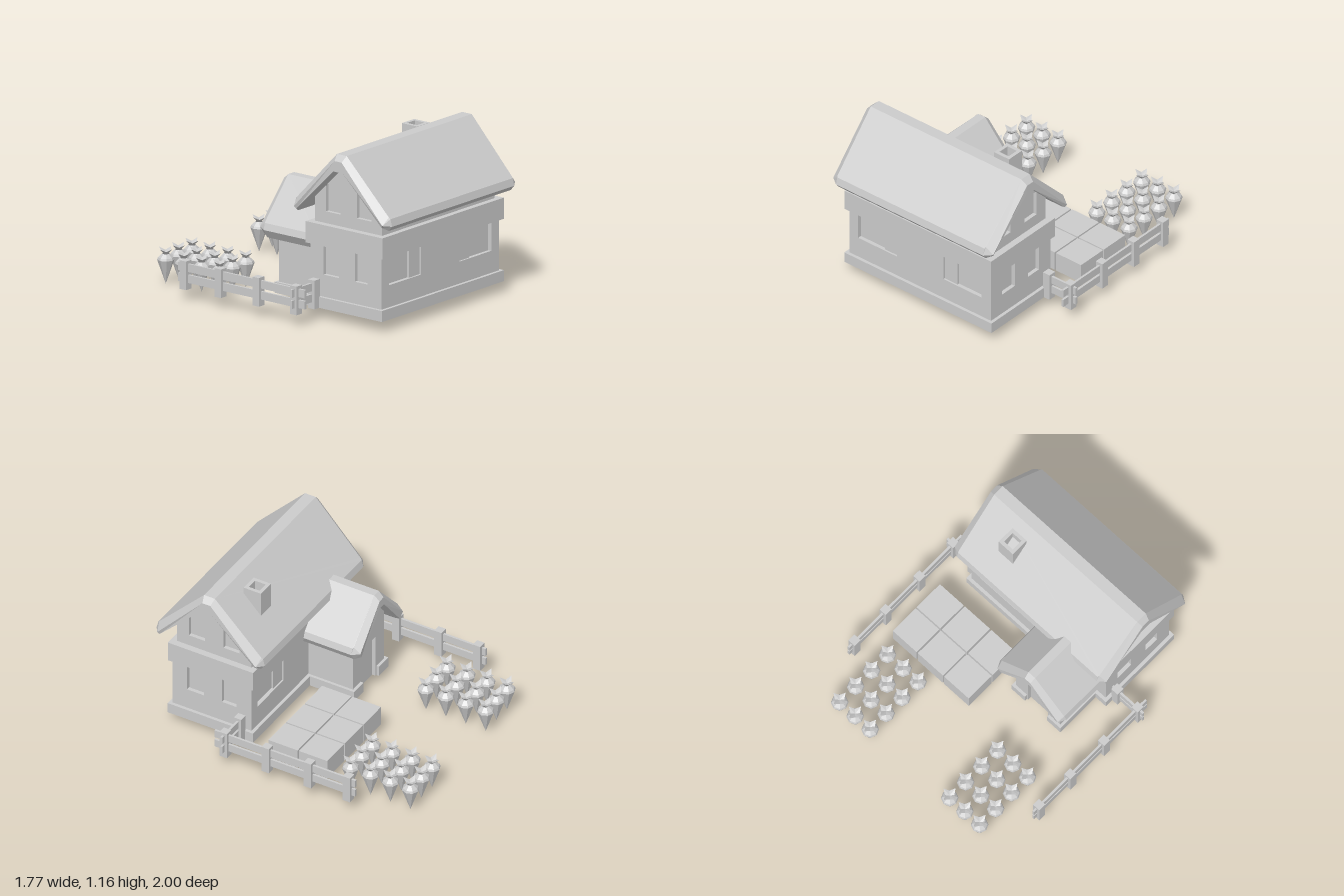
import * as THREE from 'three';

const mat = new THREE.MeshStandardMaterial({ color: 0xcccccc, flatShading: true, side: THREE.DoubleSide });

function add(parent, name, geo, x = 0, y = 0, z = 0) {
  const m = new THREE.Mesh(geo, mat);
  m.name = name;
  m.position.set(x, y, z);
  parent.add(m);
  return m;
}

// Box given by its min and max corners
function block(parent, name, x0, x1, y0, y1, z0, z1) {
  return add(parent, name, new THREE.BoxGeometry(x1 - x0, y1 - y0, z1 - z0),
    (x0 + x1) / 2, (y0 + y1) / 2, (z0 + z1) / 2);
}

const rect = (x0, x1, y0, y1) => [[x0, y0], [x1, y0], [x1, y1], [x0, y1]];
const toPts = a => a.map(p => new THREE.Vector2(p[0], p[1]));

function extrude(outline, holes, depth) {
  const s = new THREE.Shape(toPts(outline));
  for (const h of holes) s.holes.push(new THREE.Path(toPts(h)));
  return new THREE.ExtrudeGeometry(s, { depth, bevelEnabled: false });
}

// Open rectangular ring lying flat
function ring(parent, name, hx, hz, t, y0, y1, x = 0, z = 0) {
  const g = extrude(rect(-hx, hx, -hz, hz), [rect(-hx + t, hx - t, -hz + t, hz - t)], y1 - y0);
  g.rotateX(-Math.PI / 2);
  return add(parent, name, g, x, y0, z);
}

// Wall with recessed panes; its outer face points along local +z at distance dist
function wall(parent, name, outline, windows, dist, angle) {
  const T = 0.03, g = new THREE.Group();
  g.name = name;
  g.rotation.y = angle;
  add(g, name + 'Panel', extrude(outline, windows.map(w => rect(...w)), T), 0, 0, dist - T);
  for (const [x0, x1, y0, y1] of windows)
    block(g, 'windowPane', x0 - 0.01, x1 + 0.01, y0 - 0.01, y1 + 0.01, dist - T - 0.015, dist - T + 0.003);
  parent.add(g);
  return g;
}

// Gabled slab with chamfered rim, ridge along x. Each level lists the eave
// corner, rake corner and ridge corner of one quadrant as [x, y, z].
function roof(parent, name, levels, x, z, angle = 0) {
  const rings = levels.map(q => {
    const r = [...q].reverse();
    const flip = (a, sx, sz) => a.map(p => [p[0] * sx, p[1], p[2] * sz]);
    return [...q, ...flip(r, 1, -1), ...flip(q, -1, -1), ...flip(r, -1, 1)];
  });
  const pos = [];
  const fan = p => { for (let i = 1; i < p.length - 1; i++) pos.push(...p[0], ...p[i], ...p[i + 1]); };
  const slopes = [[0, 1, 2, 9, 10, 11], [2, 3, 8, 9], [3, 4, 5, 6, 7, 8]];
  for (const s of slopes) {
    fan(s.map(i => rings[0][i]));
    fan([...s].reverse().map(i => rings[rings.length - 1][i]));
  }
  for (let k = 0; k < rings.length - 1; k++)
    for (let i = 0; i < 12; i++) {
      const j = (i + 1) % 12, u = rings[k], l = rings[k + 1];
      fan([l[i], l[j], u[j], u[i]]);
    }
  const g = new THREE.BufferGeometry();
  g.setAttribute('position', new THREE.Float32BufferAttribute(pos, 3));
  g.computeVertexNormals();
  add(parent, name, g, x, 0, z).rotation.y = angle;
}

function house() {
  const h = new THREE.Group();
  h.name = 'house';
  h.position.z = 0.587;
  ring(h, 'plinth', 0.63, 0.325, 0.05, 0.08, 0.155);
  ring(h, 'floorBeam', 0.627, 0.325, 0.06, 0.505, 0.65);

  // Ground floor walls
  const wide = [[-0.53, -0.2, 0.305, 0.5], [0.2, 0.525, 0.305, 0.5]];
  const side = [[-0.19, -0.06, 0.305, 0.5], [0.075, 0.185, 0.305, 0.5]];
  for (const [name, a] of [['frontWall', 0], ['backWall', Math.PI]]) {
    const w = wall(h, name, rect(-0.607, 0.607, 0.1, 0.6), wide, 0.302, a);
    for (const s of [-1, 1])
      block(w, 'shutter', Math.min(s * 0.2, s * 0.31), Math.max(s * 0.2, s * 0.31), 0.305, 0.5, 0.265, 0.289);
  }
  for (const s of [-1, 1])
    wall(h, 'sideWall', rect(-0.3, 0.3, 0.1, 0.6), side, 0.607, s * Math.PI / 2);

  // Upper storey with gables
  const gable = [[-0.285, 0.63], [0.285, 0.63], [0.285, 0.83], [0.035, 1.09], [-0.035, 1.09], [-0.285, 0.83]];
  const attic = [[-0.193, -0.07, 0.73, 0.915], [0.07, 0.193, 0.73, 0.915]];
  for (const s of [-1, 1]) {
    wall(h, 'gableWall', gable, attic, 0.58, s * Math.PI / 2);
    block(h, 'upperWall', -0.58, 0.58, 0.63, 0.83, s * 0.27 - 0.015, s * 0.27 + 0.015);
  }
  roof(h, 'mainRoof', [
    [[0.63, 0.795, 0.4], [0.634, 0.805, 0.39], [0.645, 1.163, 0.041]],
    [[0.63, 0.745, 0.413], [0.685, 0.755, 0.375], [0.685, 1.125, 0.03]],
    [[0.63, 0.712, 0.385], [0.675, 0.738, 0.362], [0.685, 1.052, 0.041]],
  ], 0, -0.003);
  ring(h, 'chimney', 0.064, 0.066, 0.025, 0.88, 1.13, 0.342, -0.187);
  return h;
}

function porch() {
  const p = new THREE.Group();
  p.name = 'porch';
  p.position.x = -0.318;
  for (const s of [-1, 1]) {
    const m = s * 0.185;
    block(p, 'porchSideWall', m - 0.015, m + 0.015, 0.08, 0.57, -0.04, 0.29);
    block(p, 'porchPlinthSide', s * 0.2 - 0.02, s * 0.2 + 0.02, 0.08, 0.155, -0.075, 0.28);
    block(p, 'porchPlinthCorner', s * 0.15 - 0.05, s * 0.15 + 0.05, 0.08, 0.155, -0.075, -0.04);
  }
  // Gabled back wall with the door opening
  const outline = [[-0.2, 0.08], [-0.09, 0.08], [-0.09, 0.4], [0.09, 0.4], [0.09, 0.08], [0.2, 0.08],
    [0.2, 0.57], [0.03, 0.77], [-0.03, 0.77], [-0.2, 0.57]];
  add(p, 'porchBackWall', extrude(outline, [], 0.03), 0, 0, -0.055);
  block(p, 'door', -0.1, 0.1, 0.08, 0.41, -0.028, -0.012);
  roof(p, 'porchRoof', [
    [[0.21, 0.565, 0.285], [0.212, 0.572, 0.278], [0.22, 0.84, 0.03]],
    [[0.205, 0.52, 0.3], [0.26, 0.53, 0.272], [0.26, 0.805, 0.025]],
    [[0.205, 0.462, 0.262], [0.252, 0.485, 0.245], [0.26, 0.745, 0.03]],
  ], 0, 0.105, Math.PI / 2);
  return p;
}

// Fence on the +x side: long run plus a short return to the house
function fence() {
  const f = new THREE.Group();
  f.name = 'fence';
  for (const [x, z] of [[0.833, -0.588], [0.833, -0.292], [0.833, 0.03], [0.833, 0.35], [0.65, 0.35]])
    block(f, 'fencePost', x - 0.028, x + 0.028, 0.08, 0.275, z - 0.028, z + 0.028);
  for (const [y0, y1] of [[0.125, 0.18], [0.2, 0.255]]) {
    block(f, 'sideRail', 0.825, 0.841, y0, y1, -0.645, 0.43);
    block(f, 'frontRail', 0.61, 0.885, y0, y1, 0.342, 0.358);
  }
  return f;
}

// Root vegetable: faceted cone body with a four-pointed leaf crown
const rootGeo = new THREE.LatheGeometry(
  toPts([[0, 0], [0.058, 0.165], [0.052, 0.18], [0.025, 0.205]]), 8);
function crownGeo() {
  const pos = [], c = [0, 0.213, 0], b = [0, 0.19, 0];
  const at = i => {
    const a = i * Math.PI / 4, r = i % 2 ? 0.031 : 0.056;
    return [Math.sin(a) * r, i % 2 ? 0.222 : 0.242, Math.cos(a) * r];
  };
  for (let i = 0; i < 8; i++) pos.push(...c, ...at(i), ...at(i + 1), ...b, ...at(i + 1), ...at(i));
  const g = new THREE.BufferGeometry();
  g.setAttribute('position', new THREE.Float32BufferAttribute(pos, 3));
  g.computeVertexNormals();
  return g;
}

export function createModel() {
  const model = new THREE.Group();
  model.name = 'farmhouse';
  model.add(house(), porch());

  // Fences on both sides
  const left = fence(), right = fence();
  right.scale.x = -1;
  model.add(left, right);

  // Raised garden beds
  for (const [x0, x1] of [[0.024, 0.246], [0.257, 0.484], [0.495, 0.71]])
    for (const [z0, z1] of [[-0.354, -0.137], [-0.127, 0.095]])
      block(model, 'gardenBed', x0, x1, 0.08, 0.22, z0, z1);

  // Two vegetable patches
  const leaf = crownGeo();
  for (const [xs, z0] of [[[-0.62, -0.487, -0.35], -0.93], [[0.357, 0.492, 0.632], -0.942]])
    for (const x of xs)
      for (let r = 0; r < 4; r++) {
        add(model, 'vegetableRoot', rootGeo, x, 0.005, z0 + r * 0.152);
        add(model, 'vegetableLeaves', leaf, x, 0.005, z0 + r * 0.152);
      }
  return model;
}
